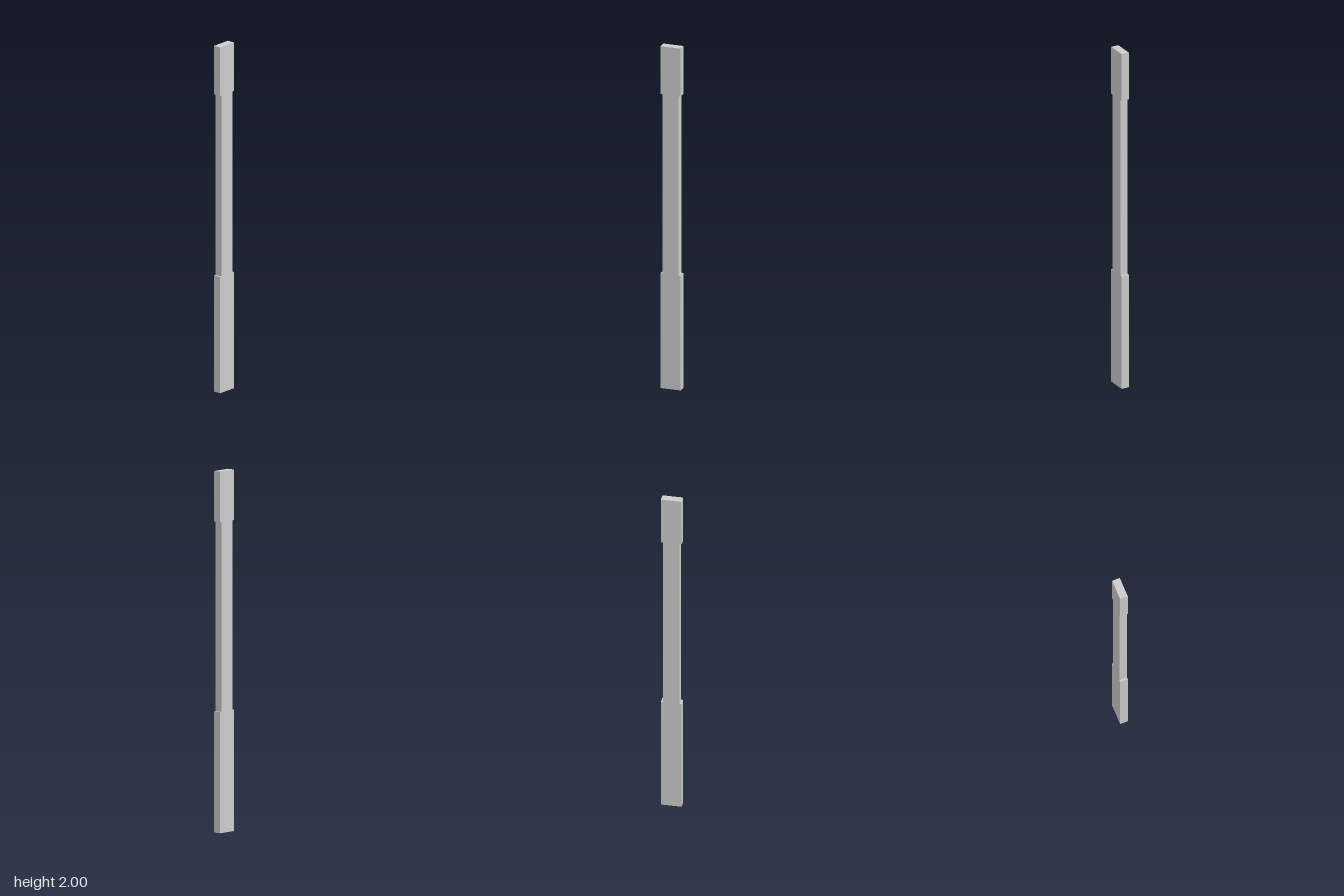
import * as THREE from 'three';

export function createModel() {
  const group = new THREE.Group();
  group.name = 'post';

  const thickness = 0.045; // along x
  const wide = 0.058;      // half depth of the end blocks
  const narrow = 0.046;    // half depth of the recessed shaft
  const low = 0.672, high = 1.72; // shoulder heights

  // Side profile: half outline, mirrored to close the shape
  const half = [[wide, 0], [wide, low], [narrow, low], [narrow, high], [wide, high], [wide, 2]];
  const mirrored = half.map(([z, y]) => [-z, y]).reverse();
  const shape = new THREE.Shape([...half, ...mirrored].map(([z, y]) => new THREE.Vector2(z, y)));

  // Extrude the profile and turn it so its thickness runs along x
  const geometry = new THREE.ExtrudeGeometry(shape, { depth: thickness, bevelEnabled: false });
  geometry.translate(0, 0, -thickness / 2);
  geometry.rotateY(Math.PI / 2);

  const post = new THREE.Mesh(geometry, new THREE.MeshStandardMaterial({ color: 0xcccccc, flatShading: true }));
  post.name = 'notchedPost';
  group.add(post);
  return group;
}
